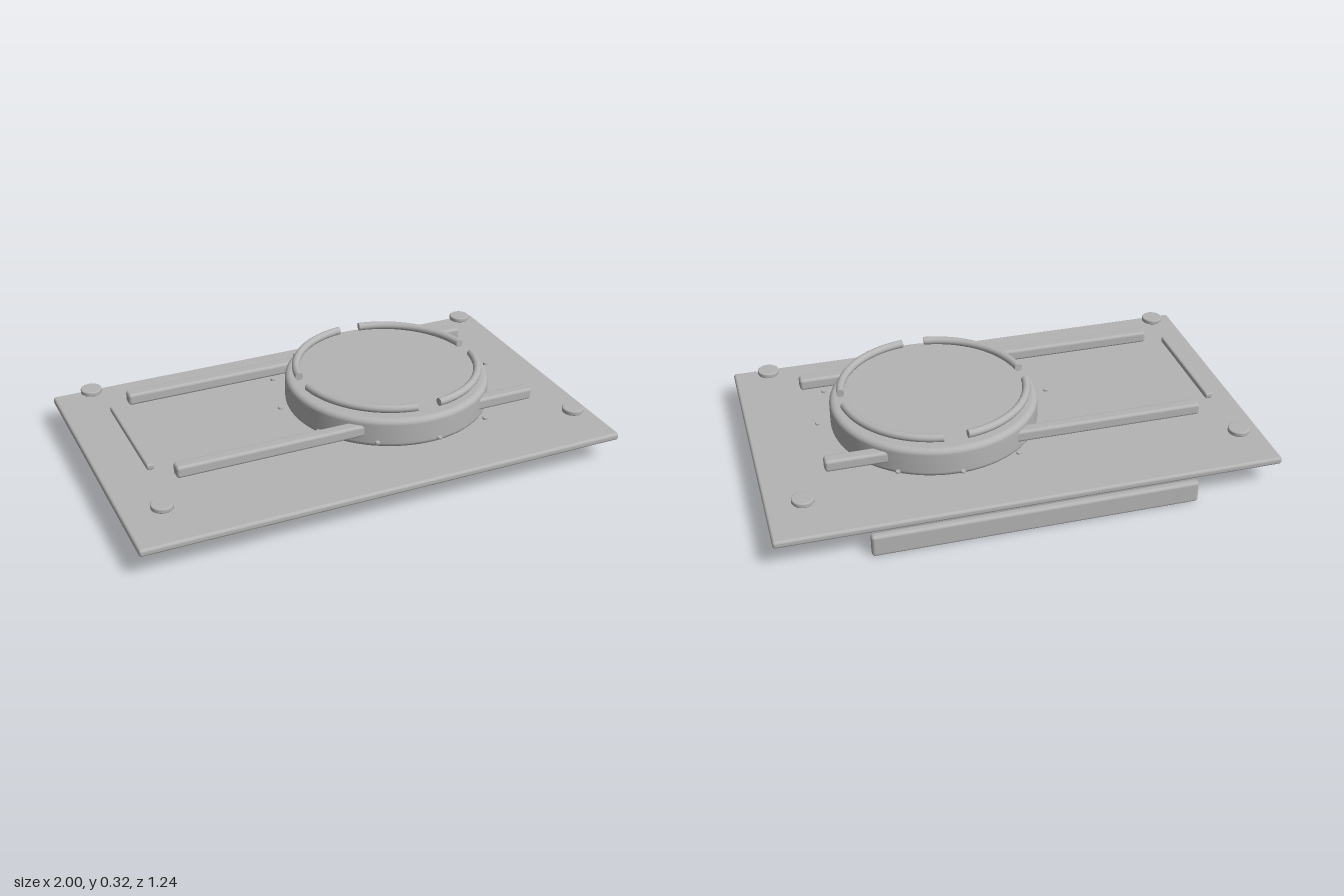
import * as THREE from 'three';
import { RoundedBoxGeometry } from 'three/addons/geometries/RoundedBoxGeometry.js';
import { mergeGeometries } from 'three/addons/utils/BufferGeometryUtils.js';

const CX = 0.257, CZ = 0.005; // centre of the round body

// Solid disc with rounded rims, standing on y = 0
function discGeometry(radius, height, fillet, segments) {
  const pts = [new THREE.Vector2(0, 0)];
  for (const [cy, start] of [[fillet, -Math.PI / 2], [height - fillet, 0]]) {
    for (let i = 0; i <= 5; i++) {
      const a = start + (i / 5) * Math.PI / 2;
      pts.push(new THREE.Vector2(radius - fillet + Math.cos(a) * fillet, cy + Math.sin(a) * fillet));
    }
  }
  pts.push(new THREE.Vector2(0, height));
  // doubled points keep the flat faces flat
  const inner = radius - fillet - 0.0005;
  pts.splice(1, 0, new THREE.Vector2(inner, 0));
  pts.splice(pts.length - 1, 0, new THREE.Vector2(inner, height));
  return new THREE.LatheGeometry(pts, segments);
}

// Round bar bent to an arc, with flat closed ends
function arcGeometry(radius, tube, angle) {
  const bar = new THREE.TorusGeometry(radius, tube, 16, 40, angle);
  const start = new THREE.CircleGeometry(tube, 16).rotateX(Math.PI / 2).translate(radius, 0, 0);
  const end = new THREE.CircleGeometry(tube, 16).rotateX(-Math.PI / 2).translate(radius, 0, 0).rotateZ(angle);
  return mergeGeometries([bar, start, end]).rotateX(-Math.PI / 2);
}

export function createModel() {
  const model = new THREE.Group();
  model.name = 'platform';
  const grey = new THREE.MeshStandardMaterial({ color: 0xb4b4b4 });
  grey.name = 'grey';

  const add = (name, geometry, x, y, z) => {
    const mesh = new THREE.Mesh(geometry, grey);
    mesh.name = name;
    mesh.position.set(x, y, z);
    model.add(mesh);
    return mesh;
  };
  // Rounded box given by its limits on each axis
  const box = (name, [x0, x1], [y0, y1], [z0, z1], r) =>
    add(name, new RoundedBoxGeometry(x1 - x0, y1 - y0, z1 - z0, 4, r),
      (x0 + x1) / 2, (y0 + y1) / 2, (z0 + z1) / 2);

  // Base plate and the upright strip behind it
  box('basePlate', [-1, 1], [0.1, 0.13], [-0.605, 0.62], 0.011);
  box('backStrip', [-0.647, 0.643], [0, 0.09], [-0.62, -0.585], 0.012);

  // Long rails passing through the round body, and the thin side bar
  box('backRail', [-0.76, 0.755], [0.2, 0.249], [-0.324, -0.272], 0.012);
  box('frontRail', [-0.76, 0.755], [0.2, 0.249], [0.284, 0.336], 0.012);
  box('sideBar', [-0.85, -0.82], [0.212, 0.237], [-0.242, 0.252], 0.008);

  // Round body
  add('roundBody', discGeometry(0.418, 0.122, 0.022, 96), CX, 0.156, CZ);

  // Four arcs of the broken ring above the body
  const gap = 0.127;
  const arc = arcGeometry(0.372, 0.0165, Math.PI / 2 - 2 * gap);
  for (let i = 0; i < 4; i++) {
    add('ringArc', arc, CX, 0.3065, CZ).rotation.y = gap + i * Math.PI / 2;
  }

  // Twelve small studs around the body
  const stud = discGeometry(0.0095, 0.01, 0.002, 16);
  for (let i = 0; i < 12; i++) {
    const a = (i * Math.PI) / 6;
    add('stud', stud, CX + 0.473 * Math.cos(a), 0.207, CZ + 0.473 * Math.sin(a));
  }

  // Corner discs
  const corner = discGeometry(0.043, 0.02, 0.005, 40);
  for (const x of [-0.866, 0.863]) {
    for (const z of [-0.468, 0.478]) add('cornerDisc', corner, x, 0.191, z);
  }
  return model;
}
